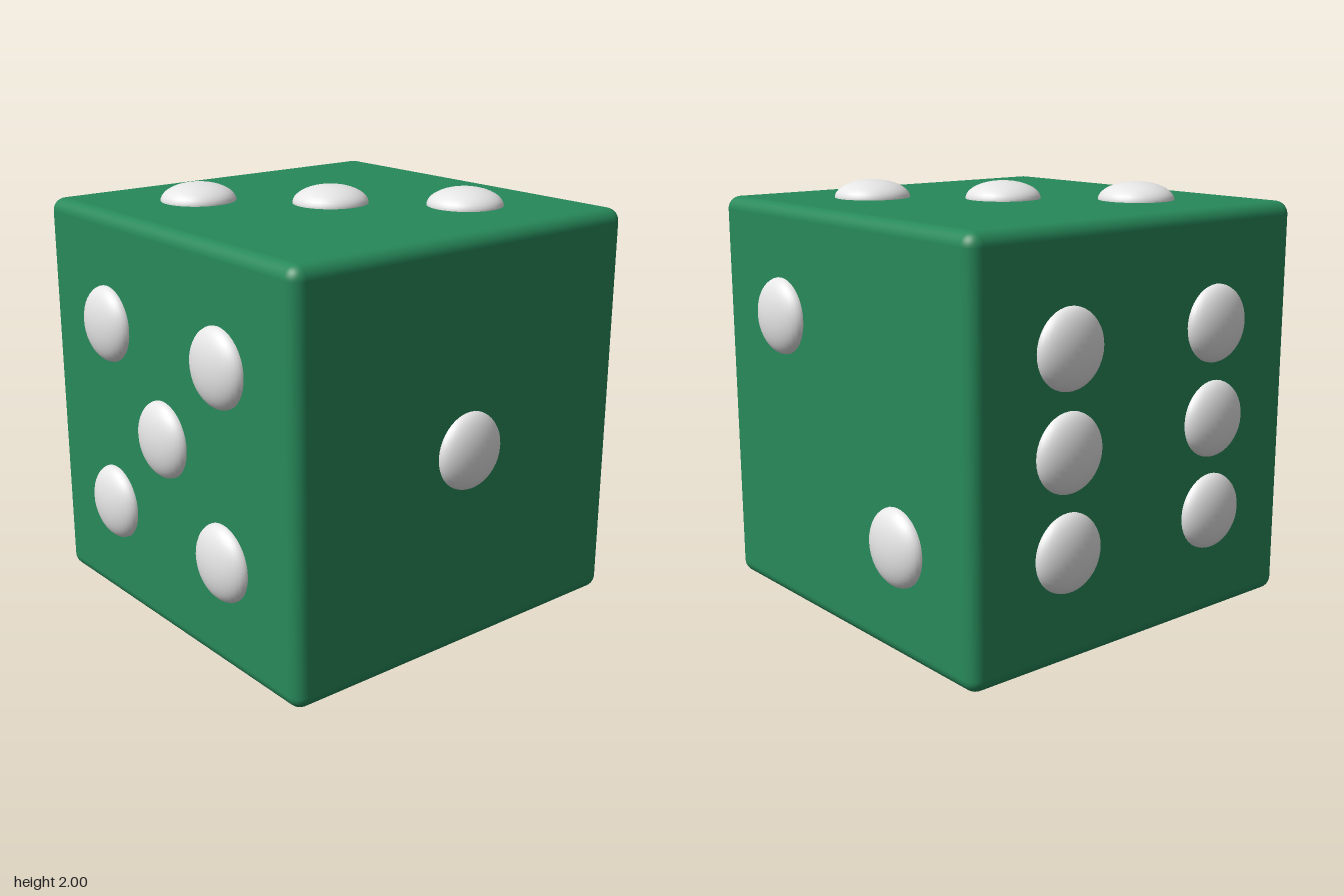
import * as THREE from 'three';
import { RoundedBoxGeometry } from 'three/addons/geometries/RoundedBoxGeometry.js';

const HALF = 0.92;   // half the cube's side
const STEP = 0.425;  // pip spacing from the face centre
const PIP_R = 0.172;
const PIP_H = 0.08;

const green = new THREE.MeshStandardMaterial({ color: 0x27895a });
green.name = 'green';
const white = new THREE.MeshStandardMaterial({ color: 0xe6e6e6 });
white.name = 'white';

// Pips per face as [u, v] steps; place() turns them into positions about the cube's centre
const FACES = [
  { name: 'frontPips', axis: 'z', place: (u, v) => [u, v, HALF], pips: [[-1, 1], [1, 1], [0, 0], [-1, -1], [1, -1]] },
  { name: 'backPips', axis: 'z', place: (u, v) => [u, v, -HALF], pips: [[1, 1], [-1, -1]] },
  { name: 'leftPip', axis: 'x', place: (u, v) => [HALF, v, u], pips: [[0, 0]] },
  { name: 'rightPips', axis: 'x', place: (u, v) => [-HALF, v, u], pips: [[-1, 1], [-1, 0], [-1, -1], [1, 1], [1, 0], [1, -1]] },
  { name: 'topPips', axis: 'y', place: (u, v) => [u, HALF, v], pips: [[1, -1], [0, 0], [-1, 1]] },
  { name: 'bottomPips', axis: 'y', place: (u, v) => [u, -HALF, v], pips: [[1, -1], [-1, -1], [-1, 1]] },
];

export function createModel() {
  const die = new THREE.Group();
  die.name = 'die';

  // Cube with softly rounded edges
  const cube = new THREE.Mesh(new RoundedBoxGeometry(2 * HALF, 2 * HALF, 2 * HALF, 5, 0.06), green);
  cube.name = 'cube';
  cube.position.y = 1;
  die.add(cube);

  // Raised pips: spheres flattened along their face's normal
  const sphere = new THREE.SphereGeometry(PIP_R, 32, 20);
  for (const { name, axis, place, pips } of FACES) {
    const group = new THREE.Group();
    group.name = name;
    group.position.y = 1;
    for (const [u, v] of pips) {
      const pip = new THREE.Mesh(sphere, white);
      pip.name = 'pip';
      pip.position.set(...place(u * STEP, v * STEP));
      pip.scale[axis] = PIP_H / PIP_R;
      group.add(pip);
    }
    die.add(group);
  }
  return die;
}
